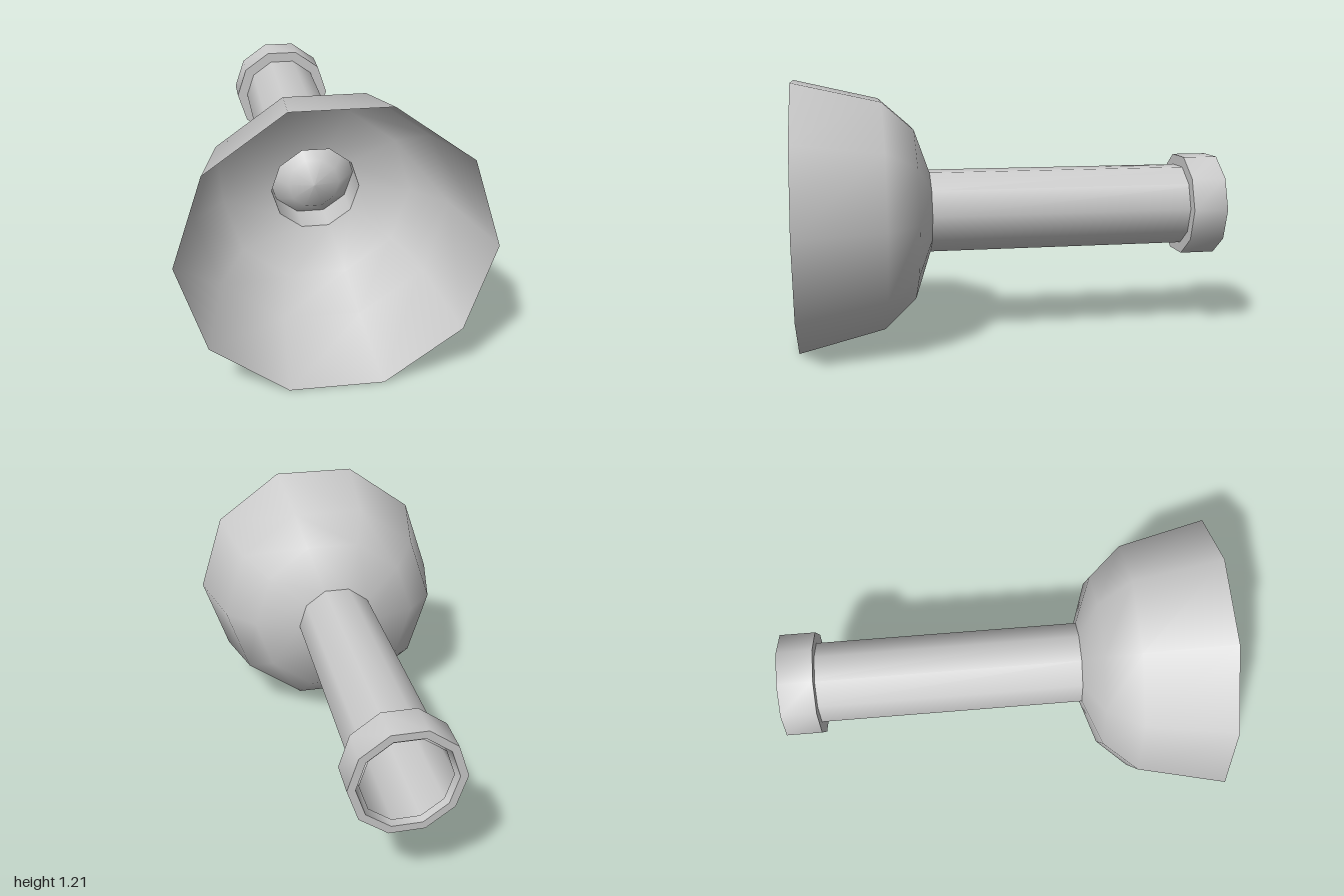
import * as THREE from 'three';
import { toCreasedNormals } from 'three/addons/utils/BufferGeometryUtils.js';

const SIDES = 10;
const AXIS_HEIGHT = 0.606;

export function createModel() {
  const group = new THREE.Group();
  const material = new THREE.MeshStandardMaterial({ color: 0xcccccc, side: THREE.DoubleSide });

  // Ten-sided part turned around the z axis; profile is [radius, z] from back to front
  function turned(name, profile, crease) {
    const points = profile.map(([r, z]) => new THREE.Vector2(r, z));
    let geometry = new THREE.LatheGeometry(points, SIDES, Math.PI / 2);
    geometry.rotateX(Math.PI / 2);
    if (crease) geometry = toCreasedNormals(geometry, crease);
    const mesh = new THREE.Mesh(geometry, material);
    mesh.name = name;
    mesh.position.y = AXIS_HEIGHT;
    group.add(mesh);
  }

  // Thin flared bell, open at the front
  turned('bell', [[0.195, 0.39], [0.41, 0.465], [0.545, 0.61], [0.637, 1]]);

  // Hollow straight handle
  turned('handle', [[0.195, -0.98], [0.195, 0.39]]);

  // Collar with a thin rim around the rear opening
  turned('collar', [[0.195, -0.84], [0.212, -1], [0.247, -1], [0.247, -0.835], [0.195, -0.835]], 0.9);

  // Domed plug closing the handle behind the bell
  turned('plug', [[0.195, 0.24], [0.115, 0.34], [0, 0.36]]);

  return group;
}
